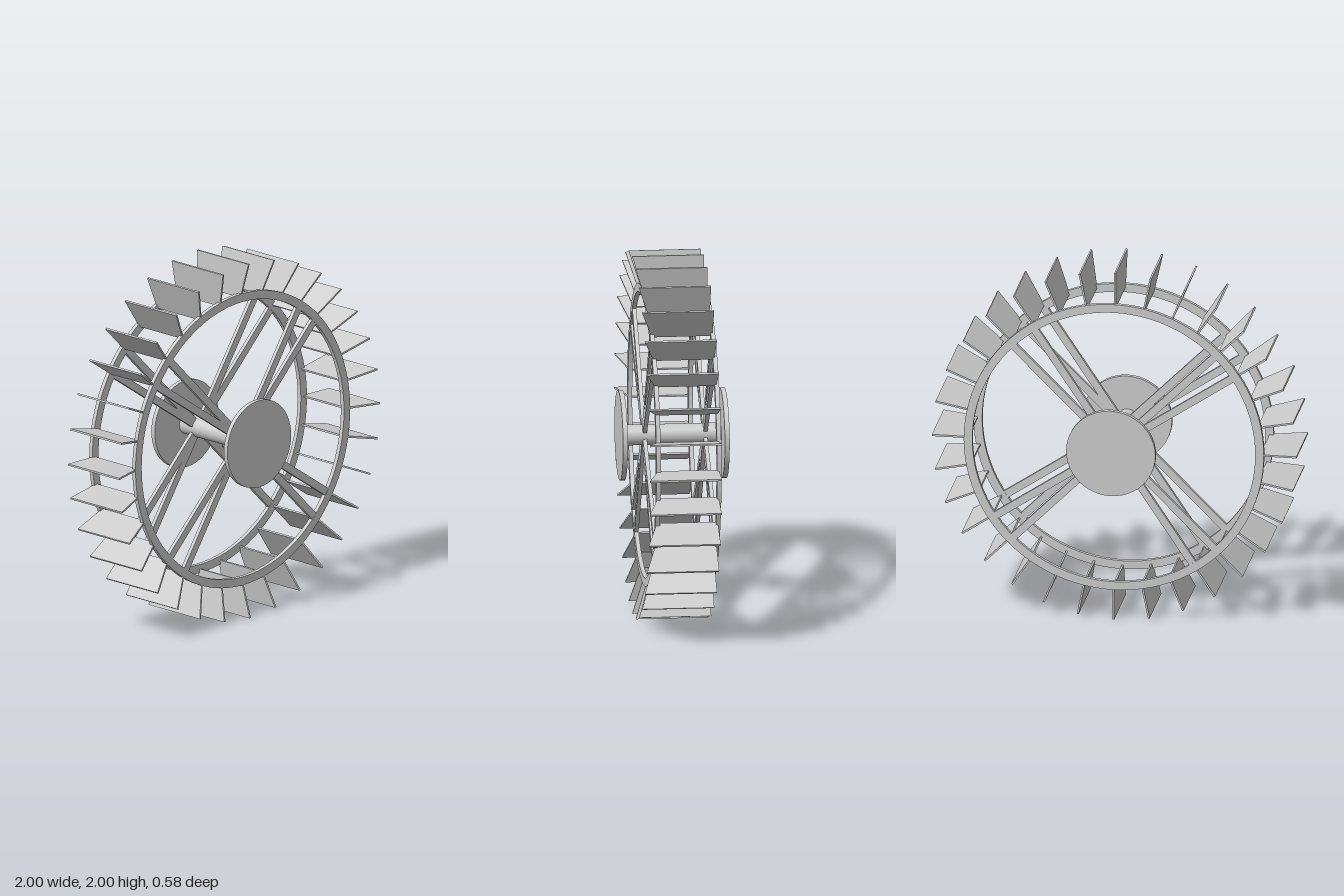
import * as THREE from 'three';

const material = new THREE.MeshStandardMaterial({ color: 0xcccccc });
const BLADES = 32;
const STEP = (Math.PI * 2) / BLADES;

function addMesh(parent, name, geometry) {
  const mesh = new THREE.Mesh(geometry, material);
  mesh.name = name;
  parent.add(mesh);
  return mesh;
}

// Flat-sided rim, centred on its own mid plane
function rimGeometry(inner, outer, depth) {
  const shape = new THREE.Shape().absarc(0, 0, outer, 0, Math.PI * 2, false);
  shape.holes.push(new THREE.Path().absarc(0, 0, inner, 0, Math.PI * 2, true));
  return new THREE.ExtrudeGeometry(shape, { depth, bevelEnabled: false, curveSegments: 48 })
    .translate(0, 0, -depth / 2);
}

// Trapezoid paddle lying along +x, its front edge slanting outward
function bladeGeometry() {
  const shape = new THREE.Shape([
    [0.8, -0.175], [1, -0.175], [1, 0.217], [0.8, 0.155],
  ].map(([r, z]) => new THREE.Vector2(r, z)));
  return new THREE.ExtrudeGeometry(shape, { depth: 0.01, bevelEnabled: false })
    .rotateX(Math.PI / 2)
    .translate(0, 0.01, 0);
}

// Cylinder running along z
function discGeometry(radius, length) {
  return new THREE.CylinderGeometry(radius, radius, length, 48).rotateX(Math.PI / 2);
}

export function createModel() {
  const model = new THREE.Group();
  model.name = 'paddleWheel';
  const wheel = new THREE.Group();
  wheel.name = 'wheel';
  wheel.position.y = 1;
  model.add(wheel);

  // Axle with an end disc on each side
  addMesh(wheel, 'axle', discGeometry(0.056, 0.56));
  const endDisc = discGeometry(0.245, 0.026);
  for (const side of [1, -1]) {
    addMesh(wheel, 'endDisc', endDisc).position.z = side * 0.277;
  }

  // Two rims, each carried by four pairs of spokes
  const rim = rimGeometry(0.776, 0.823, 0.024);
  const spoke = new THREE.BoxGeometry(0.78, 0.042, 0.022).translate(0.41, 0, 0);
  for (const z of [0.153, -0.177]) {
    const frame = new THREE.Group();
    frame.name = z > 0 ? 'frontFrame' : 'backFrame';
    frame.position.z = z;
    wheel.add(frame);
    addMesh(frame, 'rim', rim);
    for (let i = 0; i < 4; i++) {
      for (const offset of [0, STEP]) {
        addMesh(frame, 'spoke', spoke).rotation.z = Math.PI / 4 + i * Math.PI / 2 + offset;
      }
    }
  }

  // Ring of paddles
  const blade = bladeGeometry();
  for (let i = 0; i < BLADES; i++) {
    addMesh(wheel, 'blade', blade).rotation.z = i * STEP;
  }
  return model;
}
